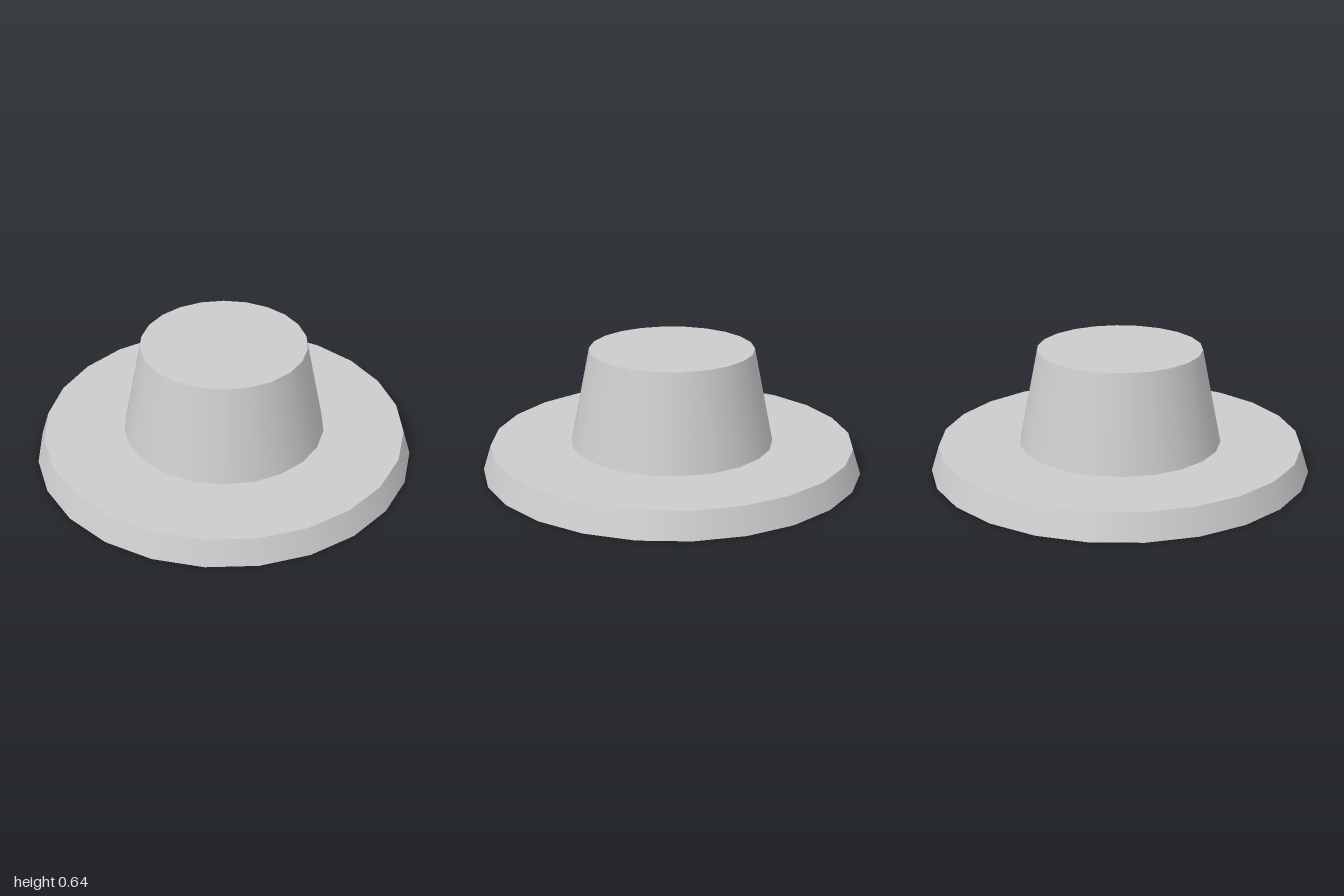
import * as THREE from 'three';

export function createModel() {
  const model = new THREE.Group();
  const lightGrey = new THREE.MeshStandardMaterial({ color: 0xcccccc });
  lightGrey.name = 'lightGrey';

  // Tapered, capped round part standing on a given height
  function taperedDisc(name, topRadius, bottomRadius, baseY, topY, sides) {
    const height = topY - baseY;
    const geometry = new THREE.CylinderGeometry(topRadius, bottomRadius, height, sides);
    geometry.rotateY(Math.PI / 2); // first corner on the x axis
    geometry.translate(0, baseY + height / 2, 0);
    const mesh = new THREE.Mesh(geometry, lightGrey);
    mesh.name = name;
    model.add(mesh);
  }

  // Wide base flange
  taperedDisc('base', 0.957, 1, 0, 0.135, 24);
  // Narrower raised plug
  taperedDisc('plug', 0.432, 0.534, 0.135, 0.638, 22);

  return model;
}
